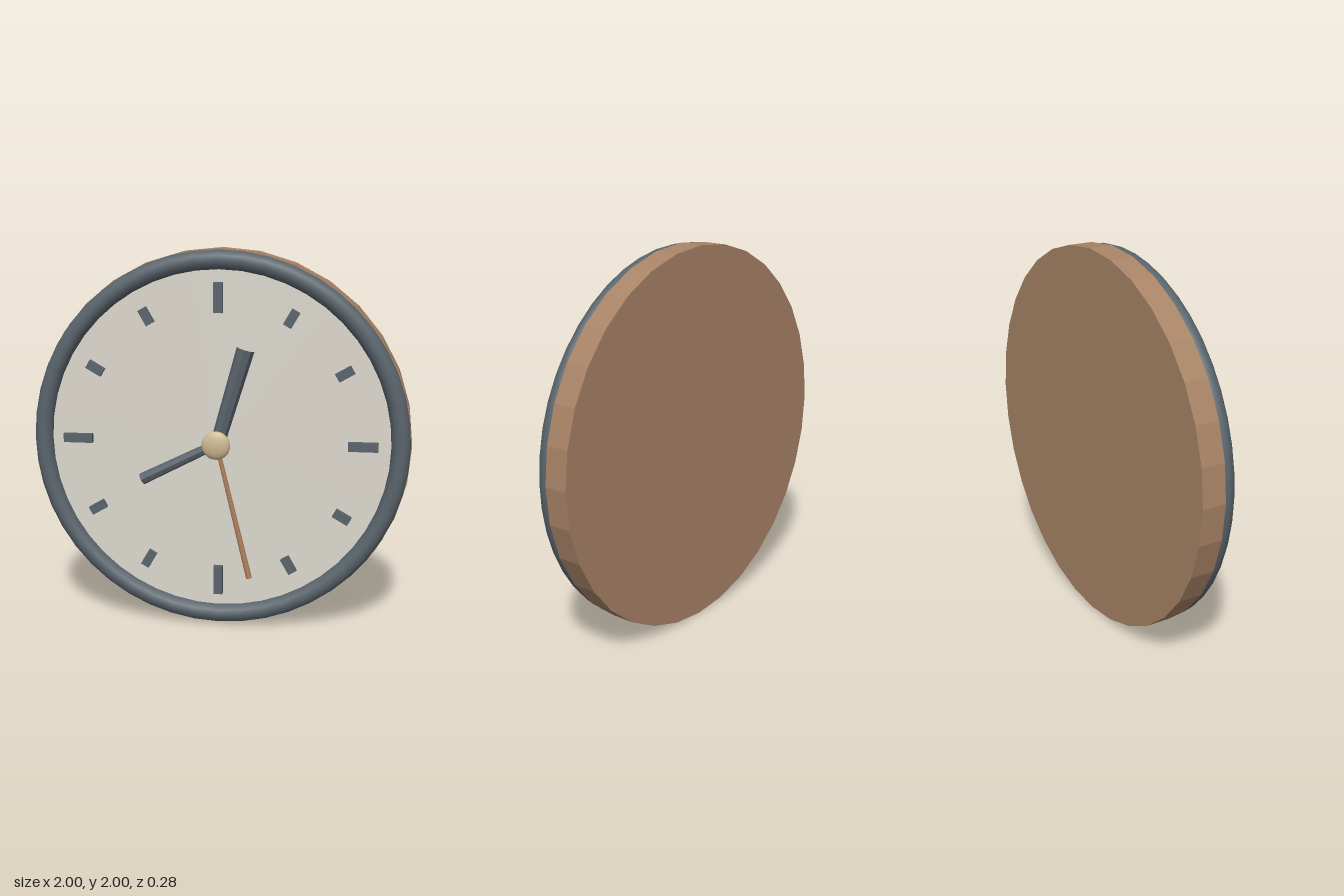
import * as THREE from 'three';

const paint = (color, flatShading = false) => new THREE.MeshStandardMaterial({ color, flatShading });

export function createModel() {
  const clock = new THREE.Group();
  const wood = paint(0xa98467, true);
  const slate = paint(0x59646c);
  const slateFlat = paint(0x59646c, true);
  const cream = paint(0xdcd8ce);
  const copper = paint(0xb07f5e, true);
  const brass = paint(0xcdb892);

  const add = (name, geometry, material, parent = clock) => {
    const mesh = new THREE.Mesh(geometry, material);
    mesh.name = name;
    parent.add(mesh);
    return mesh;
  };

  // Round disc lying between two z planes, facing +z
  const disc = (radius, back, front, sides) =>
    new THREE.CylinderGeometry(radius, radius, front - back, sides)
      .rotateX(Math.PI / 2)
      .translate(0, 0, (front + back) / 2);

  // Everything is laid out around the dial centre, then lifted to stand on y = 0
  const dial = new THREE.Group();
  dial.name = 'dial';
  dial.position.y = 1;
  clock.add(dial);

  add('backBody', disc(1, -0.14, -0.012, 32), wood, dial);
  add('face', disc(0.93, -0.012, 0.02, 48), cream, dial);
  add('rim', new THREE.TorusGeometry(0.944, 0.05, 12, 48), slate, dial).position.z = 0.015;

  // Hour marks, longer at each quarter
  for (let i = 0; i < 12; i++) {
    const length = i % 3 === 0 ? 0.155 : 0.09;
    const mark = new THREE.BoxGeometry(0.047, length, 0.03)
      .translate(0, 0.753, 0.033)
      .rotateZ(-i * Math.PI / 6);
    add('hourMark' + i, mark, slateFlat, dial);
  }

  // Hands: open round bars from the centre to a tip, slightly wider at the tip
  const hand = (name, x, y, z, baseRadius, tipRadius, material) => {
    const length = Math.hypot(x, y);
    const bar = new THREE.CylinderGeometry(tipRadius, baseRadius, length, 8, 1, true)
      .translate(0, length / 2, 0)
      .rotateZ(Math.atan2(-x, y));
    add(name, bar, material, dial).position.z = z;
  };
  hand('minuteHand', 0.145, 0.495, 0.052, 0.038, 0.047, slateFlat);
  hand('hourHand', -0.402, -0.204, 0.066, 0.025, 0.031, slateFlat);
  hand('secondHand', 0.173, -0.718, 0.085, 0.011, 0.016, copper);

  // Flattened centre cap
  const hub = add('hub', new THREE.SphereGeometry(0.075, 24, 16), brass, dial);
  hub.scale.z = 0.38;
  hub.position.z = 0.113;

  return clock;
}
